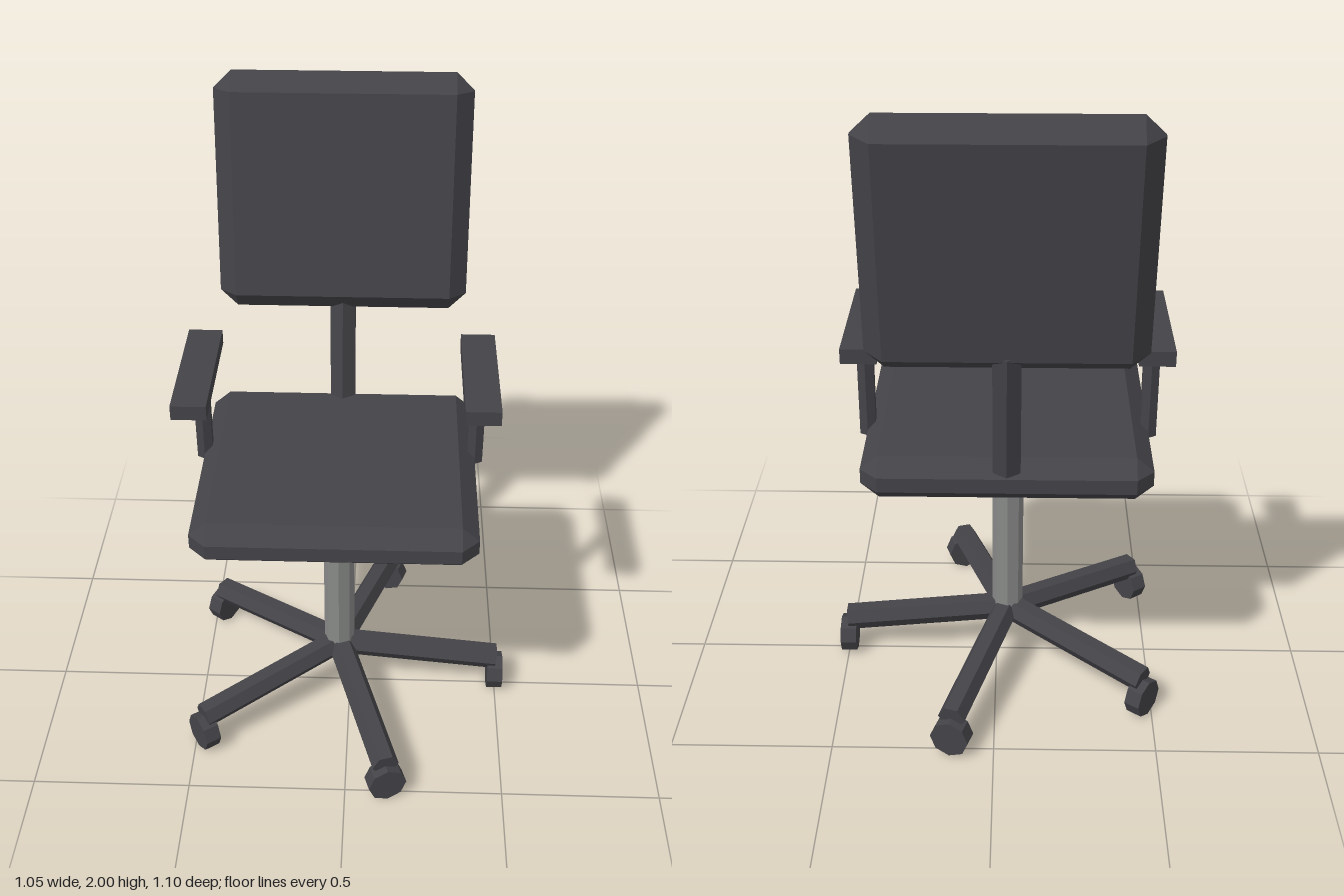
import * as THREE from 'three';
import { ConvexGeometry } from 'three/addons/geometries/ConvexGeometry.js';

export function createModel() {
  const dark = new THREE.MeshStandardMaterial({ color: 0x444348, flatShading: true });
  dark.name = 'charcoal';
  const steel = new THREE.MeshStandardMaterial({ color: 0x888a88, flatShading: true });
  steel.name = 'steel grey';

  const CX = -0.036; // x of the chair's axis
  const TILT = -THREE.MathUtils.degToRad(8);
  const model = new THREE.Group();
  model.name = 'officeChair';

  const add = (parent, name, geometry, material, x, y, z) => {
    const mesh = new THREE.Mesh(geometry, material);
    mesh.name = name;
    mesh.position.set(x, y, z);
    parent.add(mesh);
    return mesh;
  };
  const rod = (r, length, sides) => new THREE.CylinderGeometry(r, r, length, sides);

  // Box with every edge and corner cut off by a single flat bevel
  const bevelledBox = (w, h, d, bx, by, bz) => {
    const points = [];
    for (const sx of [-1, 1]) for (const sy of [-1, 1]) for (const sz of [-1, 1]) {
      for (let axis = 0; axis < 3; axis++) {
        points.push(new THREE.Vector3(
          sx * (w / 2 - (axis === 0 ? 0 : bx)),
          sy * (h / 2 - (axis === 1 ? 0 : by)),
          sz * (d / 2 - (axis === 2 ? 0 : bz))));
      }
    }
    return new ConvexGeometry(points);
  };

  // Cushions
  add(model, 'seat', bevelledBox(0.85, 0.136, 0.81, 0.052, 0.045, 0.052), dark, CX, 0.888, 0);
  add(model, 'backrest', bevelledBox(0.78, 0.74, 0.121, 0.054, 0.052, 0.054), dark, CX, 1.632, -0.444)
    .rotation.x = TILT;

  // Tilted support between seat and backrest
  add(model, 'backSupport', rod(0.046, 0.4, 6), dark, CX, 1.124, -0.393).rotation.x = TILT;

  // Armrests
  for (const side of [-1, 1]) {
    const arm = new THREE.Group();
    arm.name = side > 0 ? 'leftArmrest' : 'rightArmrest';
    arm.position.x = CX + side * 0.426;
    add(arm, 'armPost', rod(0.028, 0.315, 6), dark, 0, 1.0475, -0.088);
    add(arm, 'armPad', new THREE.BoxGeometry(0.105, 0.046, 0.44), dark, side * 0.0, 1.224, -0.036);
    arm.children[1].position.x = side * 0.0;
    model.add(arm);
  }

  // Column
  add(model, 'column', rod(0.05, 0.62, 8), steel, CX, 0.5, 0);

  // Five sloping legs with casters
  const reach = 0.534, yIn = 0.18, yOut = 0.125;
  for (let i = 0; i < 5; i++) {
    const leg = new THREE.Group();
    leg.name = 'baseLeg' + (i + 1);
    leg.position.x = CX;
    leg.rotation.y = (i * Math.PI * 2) / 5;
    add(leg, 'legBar', rod(0.043, Math.hypot(reach, yIn - yOut), 6), dark, reach / 2, (yIn + yOut) / 2, 0)
      .rotation.z = -Math.PI / 2 - Math.atan2(yIn - yOut, reach);
    add(leg, 'caster', rod(0.0615, 0.052, 8), dark, 0.533, 0.0615, 0).rotation.z = -Math.PI / 2;
    model.add(leg);
  }
  return model;
}
